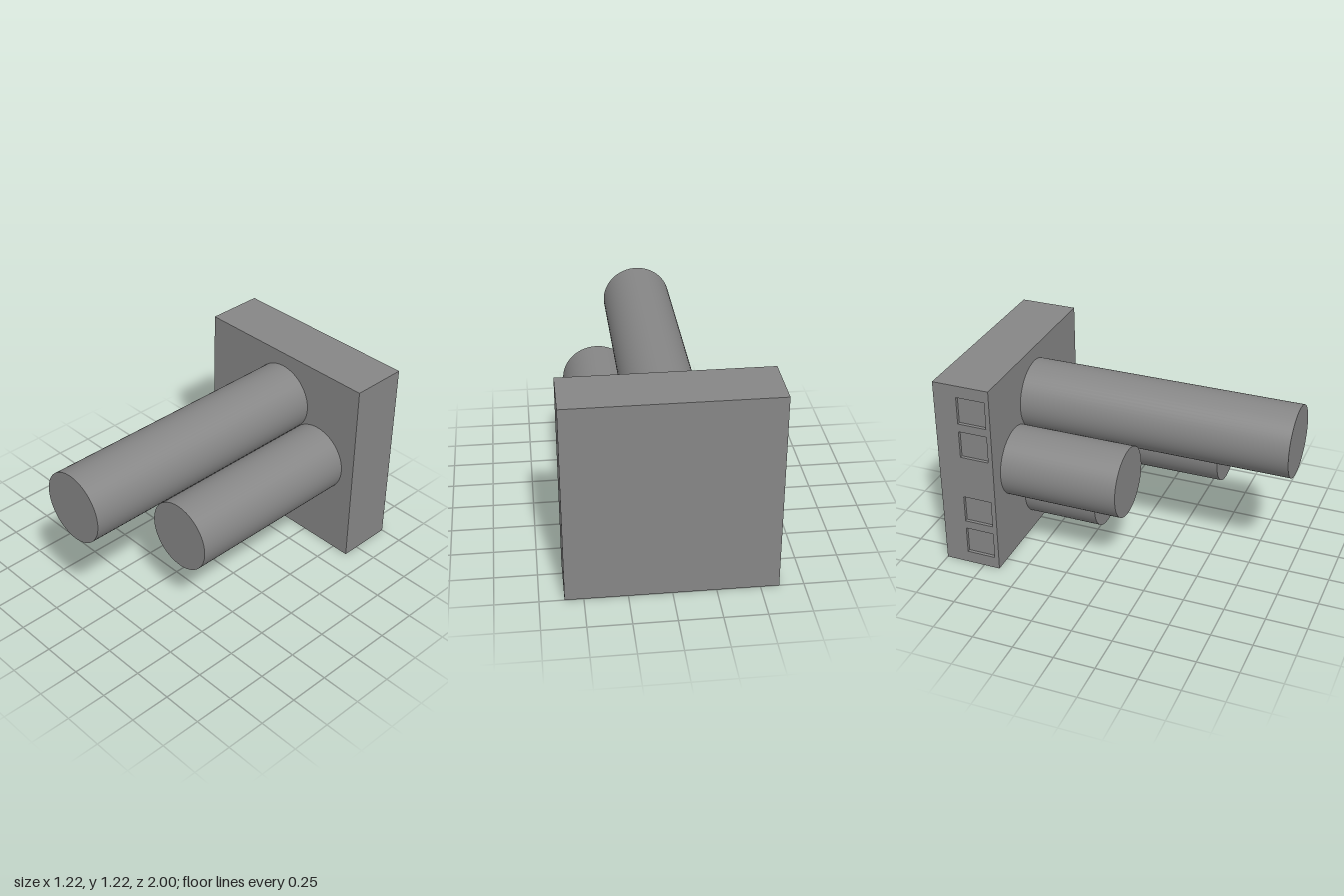
import * as THREE from 'three';

const HALF = 0.608;               // half the width of the square plate
const BACK = -1, FRONT = -0.647;  // plate thickness along z
const DEPTH = 0.02;               // recess depth of the edge slots
const RADIUS = 0.215;
const material = new THREE.MeshStandardMaterial({ color: 0x868686 });

function rectangle(target, u0, u1, v0, v1) {
  target.moveTo(u0, v0);
  target.lineTo(u1, v0);
  target.lineTo(u1, v1);
  target.lineTo(u0, v1);
  target.closePath();
  return target;
}

// Thin strip with four rectangular openings, u along the plate edge, v along z
function slottedStrip(name, uStart) {
  const shape = rectangle(new THREE.Shape(), uStart, HALF, BACK, FRONT);
  for (const centre of [-0.447, -0.223, 0.223, 0.447]) {
    shape.holes.push(rectangle(new THREE.Path(), centre - 0.086, centre + 0.086, -0.855, -0.675));
  }
  const geometry = new THREE.ExtrudeGeometry(shape, { depth: DEPTH, bevelEnabled: false });
  const mesh = new THREE.Mesh(geometry, material);
  mesh.name = name;
  return mesh;
}

function rod(name, x, y, end) {
  const length = end - FRONT;
  const geometry = new THREE.CylinderGeometry(RADIUS, RADIUS, length, 64);
  geometry.rotateX(Math.PI / 2);
  const mesh = new THREE.Mesh(geometry, material);
  mesh.name = name;
  mesh.position.set(x, y, FRONT + length / 2);
  return mesh;
}

export function createModel() {
  const model = new THREE.Group();
  model.name = 'plateWithRods';

  // Square back plate: solid core plus slotted strips on the -x and bottom edges
  const plate = new THREE.Group();
  plate.name = 'backPlate';
  const size = 2 * HALF - DEPTH;
  const core = new THREE.Mesh(new THREE.BoxGeometry(size, size, FRONT - BACK), material);
  core.name = 'plateCore';
  core.position.set(DEPTH / 2, HALF + DEPTH / 2, (FRONT + BACK) / 2);

  const side = slottedStrip('sideSlots', -HALF);
  side.geometry.applyMatrix4(new THREE.Matrix4().makeBasis(
    new THREE.Vector3(0, 1, 0), new THREE.Vector3(0, 0, 1), new THREE.Vector3(1, 0, 0)));
  side.position.set(-HALF, HALF, 0);

  const bottom = slottedStrip('bottomSlots', -HALF + DEPTH);
  bottom.geometry.rotateX(Math.PI / 2);
  bottom.position.y = DEPTH;

  plate.add(core, side, bottom);
  model.add(plate);

  // Four rods of different lengths arranged in a diamond
  const offset = 0.304;
  model.add(
    rod('topRod', 0, HALF + offset, 1),
    rod('leftRod', offset, HALF, 0.495),
    rod('rightRod', -offset, HALF, 0.077),
    rod('bottomRod', 0, HALF - offset, -0.18),
  );
  return model;
}
